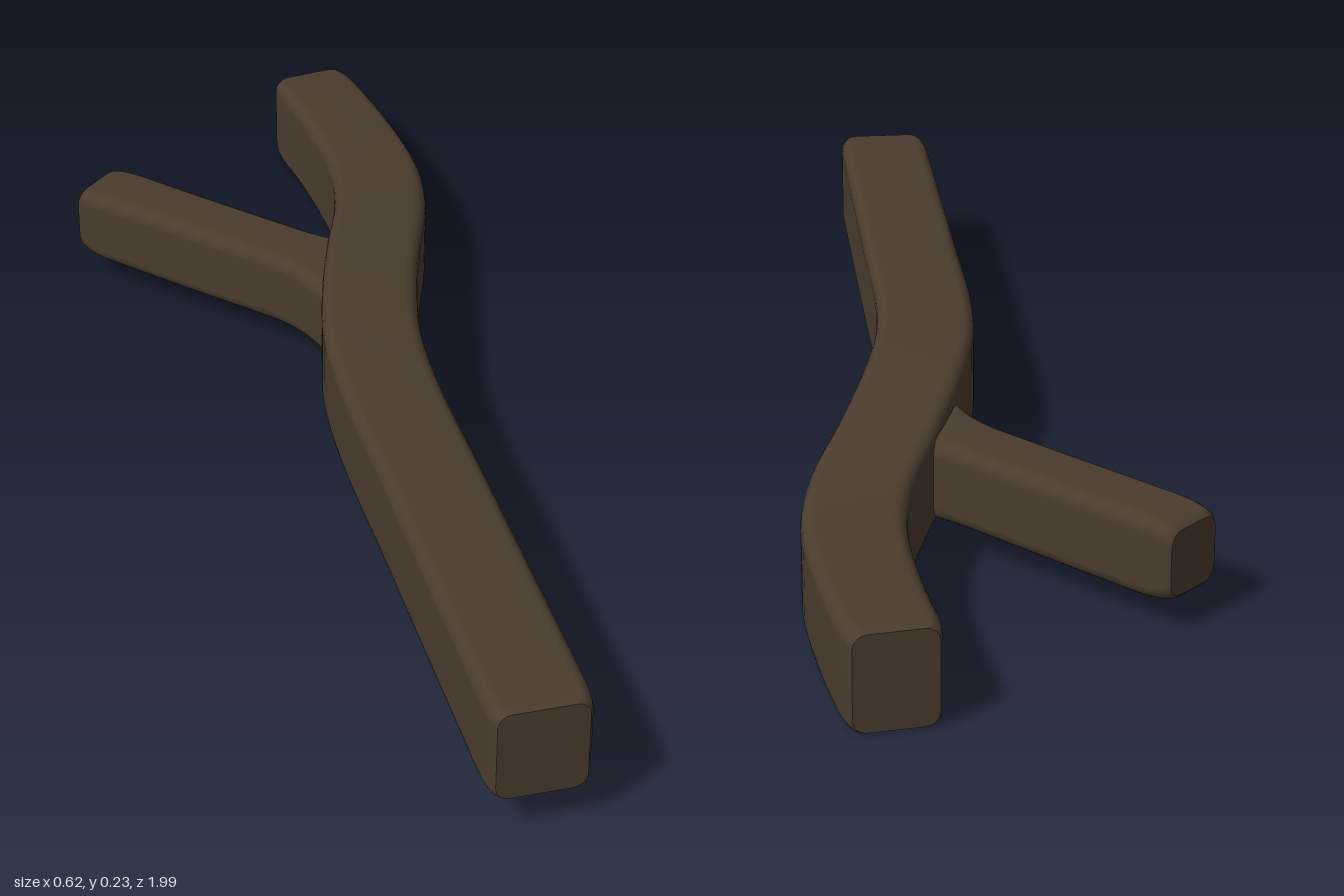
import * as THREE from 'three';

const bark = new THREE.MeshStandardMaterial({ color: 0x4a3c2e });

// Outline of a rounded rectangle, anticlockwise, from half sizes and corner radius
function section(hw, hh, r, steps = 4) {
  const pts = [];
  const corners = [[1, 1], [-1, 1], [-1, -1], [1, -1]];
  corners.forEach(([sx, sy], q) => {
    for (let k = 0; k <= steps; k++) {
      const a = (q + k / steps) * Math.PI / 2;
      pts.push([sx * (hw - r) + r * Math.cos(a), sy * (hh - r) + r * Math.sin(a)]);
    }
  });
  return pts;
}

// Sweep rounded sections along a curve; size(distance, length) gives [halfWidth, halfHeight, radius]
function limb(name, points, size, count) {
  const curve = new THREE.CatmullRomCurve3(points.map(p => new THREE.Vector3(...p)));
  const length = curve.getLength();
  const edge = [0, 0.006, 0.02, 0.04, 0.065];
  const stops = [...edge];
  for (let i = 1; i < count; i++) stops.push(0.065 + (length - 0.13) * i / count);
  edge.slice().reverse().forEach(e => stops.push(length - e));

  const up = new THREE.Vector3(0, 1, 0);
  const pos = [], idx = [], rings = [];
  for (const d of stops) {
    const c = curve.getPointAt(d / length), t = curve.getTangentAt(d / length);
    const s = t.clone().cross(up).normalize(), u = s.clone().cross(t);
    const ring = section(...size(d, length)).map(([a, b]) =>
      c.clone().addScaledVector(s, a).addScaledVector(u, b));
    ring.forEach(p => pos.push(p.x, p.y, p.z));
    rings.push({ c, ring });
  }
  const n = rings[0].ring.length;
  for (let i = 0; i < stops.length - 1; i++) {
    for (let j = 0; j < n; j++) {
      const k = (j + 1) % n, a = i * n + j, b = i * n + k;
      idx.push(a, a + n, b, b, a + n, b + n);
    }
  }
  // Flat end caps with their own vertices
  [rings[0], rings[rings.length - 1]].forEach(({ c, ring }, end) => {
    const base = pos.length / 3;
    [c, ...ring].forEach(p => pos.push(p.x, p.y, p.z));
    for (let j = 0; j < n; j++) {
      const a = base + 1 + j, b = base + 1 + (j + 1) % n;
      idx.push(base, end ? b : a, end ? a : b);
    }
  });
  const geo = new THREE.BufferGeometry();
  geo.setAttribute('position', new THREE.Float32BufferAttribute(pos, 3));
  geo.setIndex(idx);
  geo.computeVertexNormals();
  const mesh = new THREE.Mesh(geo, bark);
  mesh.name = name;
  return mesh;
}

// 1 along the limb, easing down to low at an end
const ease = (d, low) => low + (1 - low) * Math.sqrt(1 - (1 - Math.min(d / 0.065, 1)) ** 2);

export function createModel() {
  const group = new THREE.Group();
  group.name = 'forkedStick';

  // Main stem: straight, then bending sideways and down, then back
  group.add(limb('stem', [
    [0.057, 0.145, 1], [0.057, 0.145, 0.7], [0.057, 0.145, 0.4], [0.057, 0.145, 0.15],
    [0.069, 0.143, 0], [0.103, 0.134, -0.15], [0.155, 0.117, -0.32], [0.209, 0.1, -0.48],
    [0.232, 0.09, -0.62], [0.224, 0.086, -0.8], [0.2, 0.083, -0.977],
  ], (d, len) => {
    const e = Math.min(d, len - d);
    const back = THREE.MathUtils.smoothstep(d, len * 0.75, len);
    return [(0.081 - 0.007 * back) * ease(e, 0.86), 0.082 * ease(e, 0.95), 0.022];
  }, 56));

  // Side twig, flaring where it joins the stem
  group.add(limb('twig', [
    [0.12, 0.113, -0.255], [0.05, 0.114, -0.332], [-0.11, 0.112, -0.505], [-0.268, 0.111, -0.678],
  ], (d, len) => {
    const flare = Math.max(0, 1 - d / 0.16) ** 2;
    const tip = len - d;
    return [(0.061 + 0.05 * flare) * ease(tip, 0.86), 0.067 * ease(tip, 0.8), 0.024];
  }, 30));

  return group;
}
